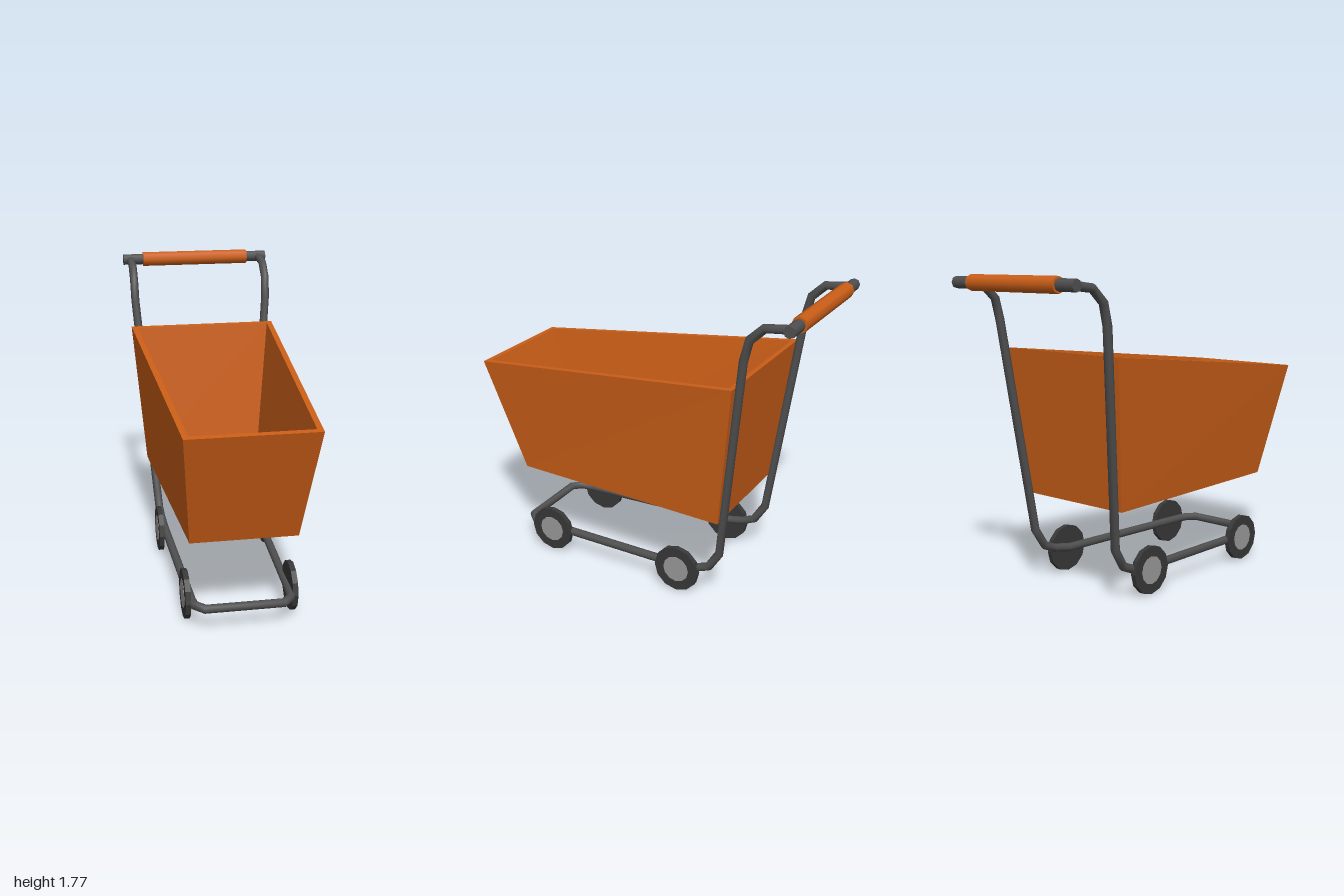
import * as THREE from 'three';

const mat = (color, extra = {}) => new THREE.MeshStandardMaterial({ color, ...extra });

function add(parent, name, geometry, material) {
  const mesh = new THREE.Mesh(geometry, material);
  mesh.name = name;
  parent.add(mesh);
  return mesh;
}

// Bent pipe with one ring per corner
class Polyline extends THREE.Curve {
  constructor(points) {
    super();
    this.points = points;
  }
  getPoint(t, target = new THREE.Vector3()) {
    const n = this.points.length - 1;
    const i = Math.min(Math.floor(t * n + 1e-6), n - 1);
    return target.lerpVectors(this.points[i], this.points[i + 1], t * n - i);
  }
  getPointAt(t, target) {
    return this.getPoint(t, target);
  }
  getTangentAt(t, target = new THREE.Vector3()) {
    const p = this.points, i = Math.round(t * (p.length - 1));
    target.set(0, 0, 0);
    if (i > 0) target.add(p[i].clone().sub(p[i - 1]).normalize());
    if (i < p.length - 1) target.add(p[i + 1].clone().sub(p[i]).normalize());
    return target.normalize();
  }
}

// Four-cornered ring of the basket: back and front edges as [half width, y, z]
const ring = ([bx, by, bz], [fx, fy, fz]) =>
  [[-fx, fy, fz], [fx, fy, fz], [bx, by, bz], [-bx, by, bz]];

function basketGeometry() {
  const rings = [
    ring([0.375, 0.52, -0.56], [0.295, 0.52, 0.77]),    // outer bottom
    ring([0.445, 1.355, -0.655], [0.353, 1.18, 1.0]),   // outer rim
    ring([0.41, 1.352, -0.625], [0.323, 1.184, 0.965]), // inner rim
    ring([0.34, 0.565, -0.54], [0.267, 0.565, 0.745]),  // inner floor
  ];
  const index = [0, 2, 1, 0, 3, 2, 12, 13, 14, 12, 14, 15];
  for (let r = 0; r < 3; r++) {
    for (let i = 0; i < 4; i++) {
      const a = r * 4 + i, b = r * 4 + (i + 1) % 4;
      index.push(a, b, b + 4, a, b + 4, a + 4);
    }
  }
  const geo = new THREE.BufferGeometry();
  geo.setAttribute('position', new THREE.Float32BufferAttribute(rings.flat(2), 3));
  geo.setIndex(index);
  const flat = geo.toNonIndexed();
  flat.computeVertexNormals();
  return flat;
}

// Cylinder lying along x
const axle = (radius, length, sides) =>
  new THREE.CylinderGeometry(radius, radius, length, sides).rotateZ(Math.PI / 2);

export function createModel() {
  const cart = new THREE.Group();
  cart.name = 'shoppingCart';
  const orange = mat(0xcc5f18, { flatShading: true });
  const gripOrange = mat(0xcc5f18);
  const steel = mat(0x505050);
  const rubber = mat(0x383838, { flatShading: true });
  const hubGrey = mat(0x999999, { flatShading: true });

  add(cart, 'basket', basketGeometry(), orange);

  // Frame: one pipe from the left handle end, round the front, to the right one
  const half = [
    [0.415, 1.722, -0.955], [0.415, 1.705, -0.81], [0.415, 1.63, -0.73],
    [0.413, 1.51, -0.70], [0.318, 0.30, -0.55], [0.313, 0.195, -0.483],
    [0.31, 0.165, -0.41], [0.305, 0.145, -0.30], [0.275, 0.14, 0.66],
    [0.265, 0.14, 0.745], [0.215, 0.14, 0.797],
  ].map(p => new THREE.Vector3(...p));
  const path = [...half, ...half.map(p => new THREE.Vector3(-p.x, p.y, p.z)).reverse()];
  add(cart, 'frame', new THREE.TubeGeometry(new Polyline(path), path.length - 1, 0.025, 8), steel);

  // Push handle
  const handle = new THREE.Group();
  handle.name = 'handle';
  handle.position.set(0, 1.722, -0.956);
  add(handle, 'handleBar', axle(0.033, 0.92, 8), steel);
  add(handle, 'handleGrip', axle(0.044, 0.67, 8), gripOrange);
  cart.add(handle);

  // Wheels, the front pair set closer together
  for (const side of [1, -1]) {
    for (const [end, x, z] of [['front', 0.297, 0.595], ['rear', 0.334, -0.29]]) {
      const wheel = new THREE.Group();
      wheel.name = `${end}${side > 0 ? 'Left' : 'Right'}Wheel`;
      wheel.position.set(side * x, 0.138, z);
      add(wheel, 'tyre', axle(0.138, 0.03, 12), rubber);
      add(wheel, 'hub', axle(0.08, 0.006, 12), hubGrey).position.x = side * 0.014;
      cart.add(wheel);
    }
  }
  return cart;
}
